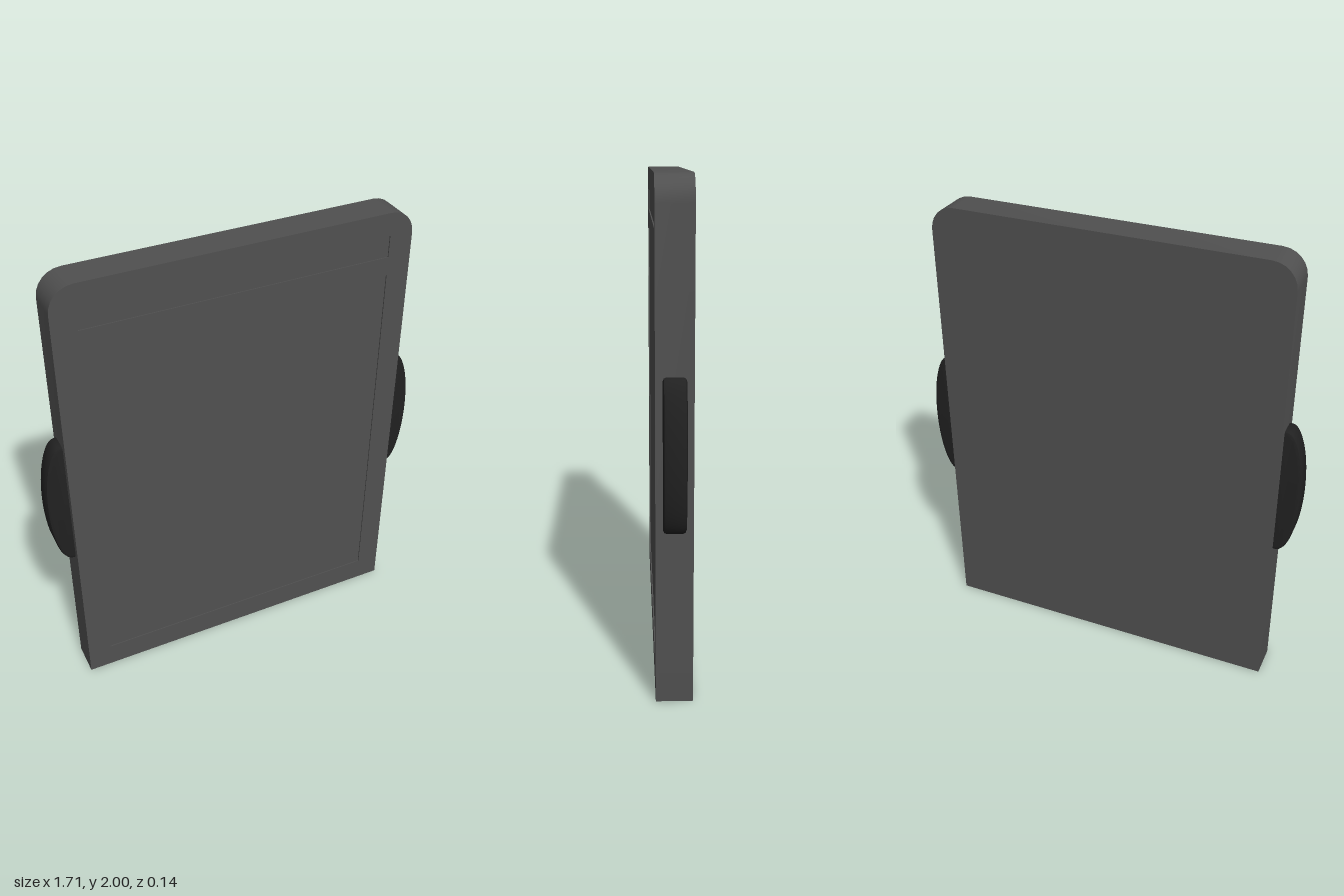
import * as THREE from 'three';
import { toCreasedNormals } from 'three/addons/utils/BufferGeometryUtils.js';

const W = 0.763;      // half width of the board
const D = 0.072;      // half thickness of the board
const R = 0.105;      // top corner radius
const RECESS = 0.005; // depth of the front recesses

const boardGrey = new THREE.MeshStandardMaterial({ color: 0x505050 });
boardGrey.name = 'boardGrey';
const gripBlack = new THREE.MeshStandardMaterial({ color: 0x212121 });
gripBlack.name = 'gripBlack';

// Board outline: square at the bottom, rounded at the top
function boardShape() {
  const s = new THREE.Shape();
  s.moveTo(-W, 0);
  s.lineTo(W, 0);
  s.lineTo(W, 2 - R);
  s.absarc(W - R, 2 - R, R, 0, Math.PI / 2, false);
  s.lineTo(-W + R, 2);
  s.absarc(-W + R, 2 - R, R, Math.PI / 2, Math.PI, false);
  s.closePath();
  return s;
}

function rectHole(halfWidth, y0, y1) {
  const h = new THREE.Path();
  h.moveTo(-halfWidth, y0);
  h.lineTo(-halfWidth, y1);
  h.lineTo(halfWidth, y1);
  h.lineTo(halfWidth, y0);
  h.closePath();
  return h;
}

function extruded(name, shape, material, z, options) {
  const geometry = new THREE.ExtrudeGeometry(shape, { bevelEnabled: false, ...options });
  const mesh = new THREE.Mesh(toCreasedNormals(geometry, 0.65), material);
  mesh.name = name;
  mesh.position.z = z;
  return mesh;
}

export function createModel() {
  const model = new THREE.Group();
  model.name = 'board';

  // Main slab, whose front is the floor of the recesses
  model.add(extruded('slab', boardShape(), boardGrey, -D,
    { depth: 2 * D - RECESS, curveSegments: 3 }));

  // Thin front frame with a large panel recess and a header strip recess
  const frame = boardShape();
  frame.holes.push(rectHole(0.66, 0.11, 1.725), rectHole(0.66, 1.805, 1.9));
  model.add(extruded('frontFrame', frame, boardGrey, D - RECESS,
    { depth: RECESS, curveSegments: 3 }));

  // Bowed side grips with softened edges
  const bevel = 0.014, halfGrip = 0.044;
  const grip = new THREE.Shape();
  grip.moveTo(0.72, 0.69);
  grip.lineTo(0.775, 0.69);
  grip.absellipse(0.775, 0.985, 0.08, 0.295, -Math.PI / 2, Math.PI / 2, false, 0);
  grip.lineTo(0.72, 1.28);
  grip.closePath();
  for (const side of [1, -1]) {
    const holder = new THREE.Group();
    holder.name = side > 0 ? 'leftGrip' : 'rightGrip';
    holder.add(extruded('gripBody', grip, gripBlack, -halfGrip + bevel, {
      depth: 2 * (halfGrip - bevel), curveSegments: 16, bevelEnabled: true,
      bevelSize: bevel, bevelThickness: bevel, bevelOffset: -bevel, bevelSegments: 2,
    }));
    if (side < 0) holder.rotation.y = Math.PI;
    model.add(holder);
  }
  return model;
}
